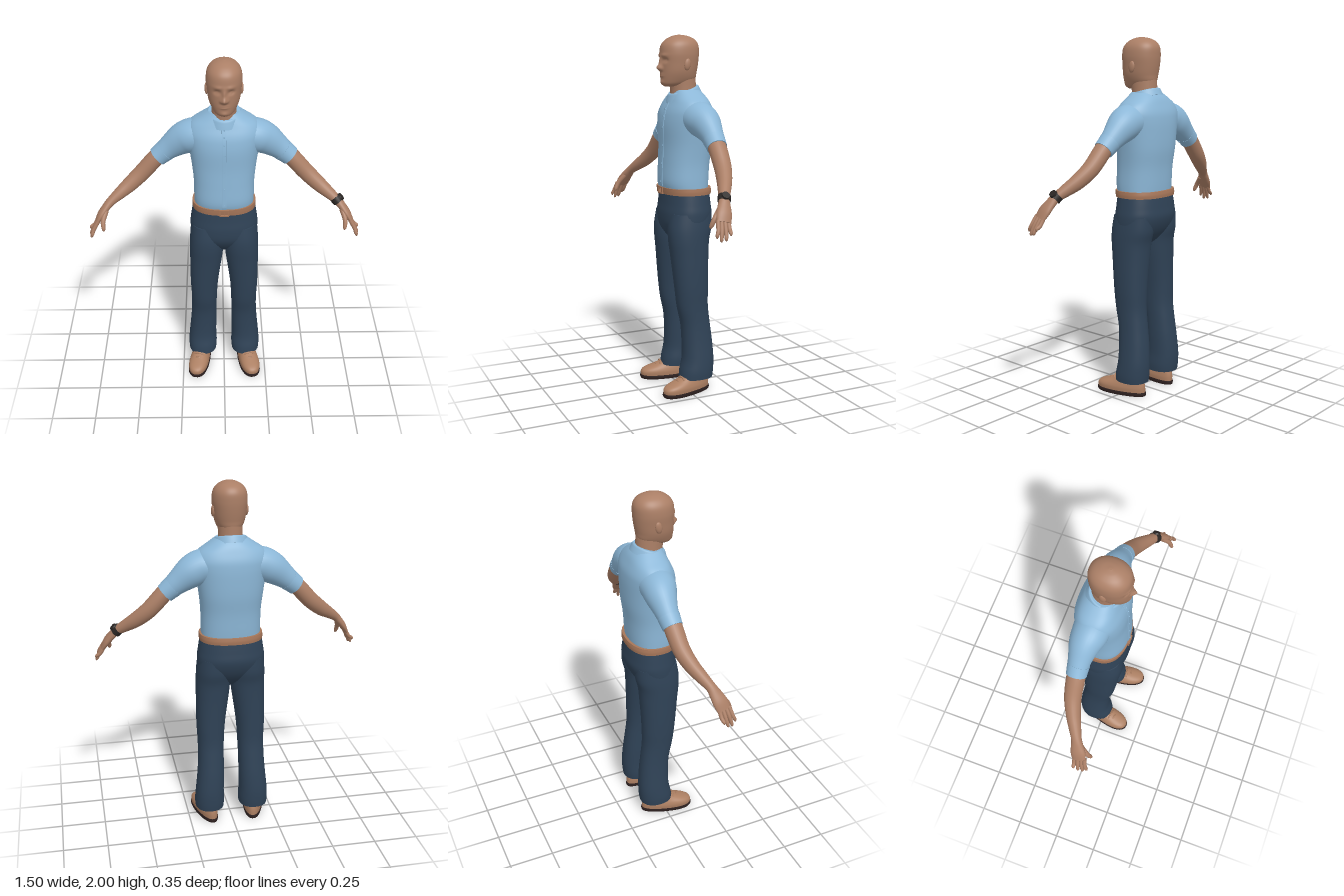
import * as THREE from 'three';

const mat = (name, color, side = THREE.FrontSide) => {
  const m = new THREE.MeshStandardMaterial({ color, side });
  m.name = name;
  return m;
};

// Catmull-Rom interpolation of every column in a short table of keys
function smooth(keys, per) {
  const rows = [], last = keys.length - 1;
  for (let i = 0; i <= last * per; i++) {
    const s = Math.min(Math.floor(i / per), last - 1), t = i / per - s;
    const k = (o) => keys[Math.min(Math.max(s + o, 0), last)];
    rows.push(keys[0].map((_, c) => {
      const a = k(-1)[c], b = k(0)[c], d = k(1)[c], e = k(2)[c];
      return b + 0.5 * t * (d - a + t * (2 * a - 5 * b + 4 * d - e + t * (3 * (b - d) + e - a)));
    }));
  }
  return rows;
}

// Skin a list of rings into a closed surface with sharp end caps
function skin(rings, rule) {
  const n = rings[0].length, pos = [], idx = [];
  if (rule) rings.forEach((r) => r.forEach(rule));
  rings.forEach((r) => r.forEach((p) => pos.push(p.x, p.y, p.z)));
  for (let i = 0; i < rings.length - 1; i++) {
    for (let j = 0; j < n; j++) {
      const a = i * n + j, b = i * n + (j + 1) % n;
      idx.push(a, a + n, b, b, a + n, b + n);
    }
  }
  [rings[0], rings[rings.length - 1]].forEach((r, end) => {
    const base = pos.length / 3;
    const c = r.reduce((s, p) => s.add(p), new THREE.Vector3()).divideScalar(n);
    [...r, c].forEach((p) => pos.push(p.x, p.y, p.z));
    for (let j = 0; j < n; j++) {
      const a = base + j, b = base + (j + 1) % n;
      if (end) idx.push(a, base + n, b); else idx.push(a, b, base + n);
    }
  });
  const g = new THREE.BufferGeometry();
  g.setAttribute('position', new THREE.Float32BufferAttribute(pos, 3));
  g.setIndex(idx);
  g.computeVertexNormals();
  return g;
}

const pw = (v, p) => Math.sign(v) * Math.abs(v) ** (2 / p);
const angles = (n) => Array.from({ length: n }, (_, j) => j / n * Math.PI * 2);

// Level rings, bottom to top: [y, xMin, xMax, zFront, zBack]
function stack(keys, { p = 2, per = 5, n = 40, rule } = {}) {
  return skin(smooth(keys, per).map(([y, x0, x1, zf, zb]) => angles(n).map((a) => new THREE.Vector3(
    (x0 + x1) / 2 + (x1 - x0) / 2 * pw(Math.cos(a), p), y,
    (zf + zb) / 2 + (zf - zb) / 2 * pw(Math.sin(a), p)))), rule);
}
const even = (keys) => keys.map(([y, w, f, b]) => [y, -w, w, f, b]);

// Rings along a limb: [x, y, z, thickness, width]
function limb(keys, per = 5, n = 24) {
  const rows = smooth(keys, per), at = (i) => new THREE.Vector3(...rows[i].slice(0, 3));
  return skin(rows.map((r, i) => {
    const t = at(Math.min(i + 1, rows.length - 1)).sub(at(Math.max(i - 1, 0))).normalize();
    const v = new THREE.Vector3(0, 0, 1).addScaledVector(t, -t.z).normalize();
    const u = t.clone().cross(v);
    return angles(n).map((a) => at(i).addScaledVector(u, r[3] * Math.cos(a)).addScaledVector(v, r[4] * Math.sin(a)));
  }));
}

function mirrored(g) {
  const m = g.clone().scale(-1, 1, 1), ix = m.index.array;
  for (let i = 0; i < ix.length; i += 3) [ix[i], ix[i + 1]] = [ix[i + 1], ix[i]];
  m.computeVertexNormals();
  return m;
}

export function createModel() {
  const model = new THREE.Group();
  model.name = 'standingMan';
  const skinTone = mat('skin', 0xab7f66), shirt = mat('shirtBlue', 0x8cb7d7);
  const denim = mat('trouserNavy', 0x2f4256), tan = mat('beltTan', 0xa67659);
  const leather = mat('shoeTan', 0xac7f62), dark = mat('soleDark', 0x2e2120), strap = mat('watchDark', 0x2b2725);

  const add = (name, geo, m) => {
    const mesh = new THREE.Mesh(geo, m);
    mesh.name = name;
    model.add(mesh);
    return mesh;
  };
  const pair = (name, geo, m) => {
    add('left' + name, geo, m);
    add('right' + name, mirrored(geo), m);
  };

  // Head, with the face raised and sunk by soft bumps: [x, y, depth, spreadX, spreadY]
  const bumps = [[0, 1.823, 0.026, 0.014, 0.016], [0, 1.855, 0.012, 0.009, 0.025], [0, 1.784, 0.007, 0.022, 0.009],
    [0, 1.745, 0.006, 0.02, 0.012]];
  for (const s of [-1, 1]) {
    bumps.push([s * 0.036, 1.864, -0.013, 0.016, 0.011], [s * 0.036, 1.862, 0.006, 0.008, 0.006],
      [s * 0.032, 1.89, 0.005, 0.022, 0.009], [s * 0.016, 1.818, 0.007, 0.007, 0.008]);
  }
  bumps.push([0, 1.785, -0.005, 0.02, 0.0025]);
  const face = (p) => {
    if (p.z < 0.02) return;
    const { x, y } = p;
    for (const [bx, by, d, sx, sy] of bumps) p.z += d * Math.exp(-(((x - bx) / sx) ** 2) - ((y - by) / sy) ** 2);
  };
  add('head', stack(even([
    [1.722, 0.025, 0.08, 0.01], [1.735, 0.052, 0.096, -0.05], [1.76, 0.069, 0.102, -0.092], [1.8, 0.083, 0.104, -0.101],
    [1.85, 0.09, 0.105, -0.109], [1.9, 0.094, 0.106, -0.113], [1.945, 0.088, 0.098, -0.11], [1.975, 0.068, 0.072, -0.09],
    [1.993, 0.037, 0.037, -0.054], [2, 0.006, 0.004, -0.012],
  ]), { p: 2.15, per: 9, n: 96, rule: face }), skinTone);
  add('neck', stack(even([[1.62, 0.07, 0.045, -0.1], [1.7, 0.066, 0.045, -0.1], [1.78, 0.066, 0.06, -0.098]])), skinTone);
  const ear = new THREE.SphereGeometry(1, 16, 12).scale(0.011, 0.032, 0.019).rotateX(-0.15).translate(0.09, 1.842, -0.012);
  pair('Ear', ear, skinTone);

  // Shirt: torso, tilted collar, button strip, sleeves and cuffs
  add('shirtBody', stack(even([
    [1.14, 0.163, 0.09, -0.15], [1.2, 0.165, 0.105, -0.155], [1.3, 0.166, 0.101, -0.161], [1.4, 0.176, 0.096, -0.173],
    [1.5, 0.19, 0.096, -0.176], [1.56, 0.2, 0.089, -0.174], [1.6, 0.2, 0.078, -0.168], [1.64, 0.178, 0.06, -0.153],
    [1.675, 0.128, 0.045, -0.136], [1.705, 0.084, 0.03, -0.112],
  ]), { p: 2.35, n: 56 }), shirt);
  add('collar', stack(even([[1.662, 0.1, 0.068, -0.13], [1.685, 0.092, 0.061, -0.12], [1.702, 0.084, 0.054, -0.111], [1.703, 0.07, 0.042, -0.1]]),
    { n: 48, rule: (p) => { p.y -= (p.z + 0.02) * 0.3; } }), shirt);
  const front = [[1.175, 0.101], [1.2, 0.105], [1.3, 0.101], [1.4, 0.096], [1.5, 0.096], [1.56, 0.089], [1.6, 0.078], [1.635, 0.063]];
  add('buttonStrip', stack(even(front.map(([y, z]) => [y, 0.013, z + 0.003, z - 0.006])), { p: 6, n: 24 }), shirt);
  for (const [y, z] of front.slice(1)) {
    const b = add('button', new THREE.CylinderGeometry(0.005, 0.005, 0.004, 12), shirt);
    b.rotation.x = Math.PI / 2;
    b.position.set(0, y, z + 0.004);
  }
  pair('Sleeve', limb([[0.1, 1.562, -0.045, 0.09, 0.1], [0.17, 1.55, -0.05, 0.094, 0.095], [0.225, 1.525, -0.058, 0.087, 0.083],
    [0.29, 1.478, -0.06, 0.067, 0.063], [0.342, 1.435, -0.057, 0.053, 0.053]], 6, 32), shirt);
  pair('Cuff', limb([[0.318, 1.455, -0.058, 0.061, 0.059], [0.34, 1.437, -0.057, 0.057, 0.056], [0.362, 1.418, -0.055, 0.054, 0.054]], 3, 32), shirt);

  // Arms and hands
  pair('Arm', limb([[0.28, 1.49, -0.06, 0.046, 0.048], [0.36, 1.423, -0.055, 0.047, 0.05], [0.445, 1.33, -0.045, 0.046, 0.046],
    [0.515, 1.268, -0.02, 0.042, 0.04], [0.57, 1.228, 0.008, 0.034, 0.034], [0.622, 1.19, 0.036, 0.025, 0.028],
    [0.65, 1.16, 0.05, 0.022, 0.034], [0.677, 1.125, 0.064, 0.02, 0.041], [0.7, 1.088, 0.076, 0.013, 0.038]]), skinTone);
  const fingers = [[0.106, 0.126, 1.018, 0.728], [0.087, 0.106, 1.0, 0.735], [0.068, 0.082, 1.004, 0.739], [0.05, 0.058, 1.028, 0.741]];
  for (const [z0, z1, y, x] of fingers) {
    pair('Finger', limb([[0.692, 1.1, z0, 0.011, 0.011], [0.718, 1.055, (z0 + z1) / 2, 0.0105, 0.0105],
      [x - 0.002, y + 0.012, z1, 0.009, 0.009], [x, y, z1 + 0.001, 0.003, 0.003]], 4, 12), skinTone);
  }
  pair('Thumb', limb([[0.648, 1.15, 0.07, 0.015, 0.016], [0.664, 1.105, 0.108, 0.013, 0.014], [0.662, 1.068, 0.127, 0.01, 0.011],
    [0.66, 1.055, 0.131, 0.003, 0.003]], 4, 14), skinTone);

  // Watch on the left wrist
  add('watchBand', limb([[0.61, 1.203, 0.029, 0.031, 0.033], [0.62, 1.192, 0.035, 0.031, 0.033], [0.63, 1.181, 0.04, 0.03, 0.033]], 2), strap);
  const dial = add('watchFace', new THREE.CylinderGeometry(0.02, 0.022, 0.012, 24), strap);
  dial.position.set(0.641, 1.212, 0.037);
  dial.rotation.z = -0.8;

  // Belt and buckle
  add('belt', stack(even([[1.134, 0.176, 0.105, -0.169], [1.152, 0.177, 0.107, -0.17], [1.17, 0.175, 0.108, -0.167]]), { p: 2.35, n: 56 }), tan);
  const plate = new THREE.Shape([[-0.026, -0.02], [0.026, -0.02], [0.026, 0.02], [-0.026, 0.02]].map((c) => new THREE.Vector2(...c)));
  plate.holes.push(new THREE.Path([[-0.019, -0.013], [-0.019, 0.013], [0.019, 0.013], [0.019, -0.013]].map((c) => new THREE.Vector2(...c))));
  add('buckle', new THREE.ExtrudeGeometry(plate, { depth: 0.008, bevelEnabled: false }), tan).position.set(0, 1.152, 0.105);
  add('bucklePin', new THREE.BoxGeometry(0.004, 0.03, 0.006), tan).position.set(0, 1.152, 0.11);

  // Trousers
  add('trouserHips', stack(even([[0.85, 0.04, 0.02, -0.05], [0.89, 0.12, 0.062, -0.1], [0.95, 0.18, 0.097, -0.145], [1.02, 0.189, 0.104, -0.17],
    [1.08, 0.182, 0.098, -0.166], [1.15, 0.171, 0.092, -0.157]]), { p: 2.3, n: 56 }), denim);
  pair('TrouserLeg', stack([
    [0.085, 0.048, 0.213, 0.05, -0.143], [0.13, 0.045, 0.215, 0.045, -0.148], [0.2, 0.048, 0.21, 0.031, -0.15],
    [0.3, 0.046, 0.2, 0.03, -0.143], [0.4, 0.045, 0.193, 0.037, -0.131], [0.5, 0.042, 0.192, 0.058, -0.12],
    [0.6, 0.036, 0.196, 0.07, -0.12], [0.7, 0.024, 0.197, 0.08, -0.122], [0.8, 0.01, 0.196, 0.09, -0.126],
    [0.88, 0.002, 0.195, 0.099, -0.132], [0.95, 0, 0.192, 0.1, -0.148], [1.03, 0, 0.184, 0.088, -0.15],
  ], { p: 2.25 }), denim);

  // Shoes: wider at the toe, turned outwards
  const toe = (p) => { p.x *= 1 + 1.1 * p.z; };
  const place = (g) => g.rotateY(0.2).translate(0.143, 0, 0);
  pair('ShoeUpper', place(stack(even([[0.018, 0.054, 0.168, -0.132], [0.042, 0.056, 0.168, -0.132], [0.06, 0.053, 0.148, -0.13], [0.08, 0.047, 0.092, -0.125],
    [0.1, 0.044, 0.045, -0.12], [0.125, 0.042, 0.025, -0.115]]), { p: 2.3, rule: toe })), leather);
  pair('ShoeSole', place(stack(even([[0, 0.055, 0.168, -0.134], [0.011, 0.058, 0.173, -0.137], [0.022, 0.057, 0.171, -0.135]]),
    { p: 2.3, per: 2, rule: toe })), dark);
  for (const z of [0.055, 0.08]) {
    pair('ShoeLace', place(new THREE.TorusGeometry(0.034, 0.005, 8, 16, Math.PI).translate(0, 0.105 - z * 0.7, z)), leather);
  }
  return model;
}
